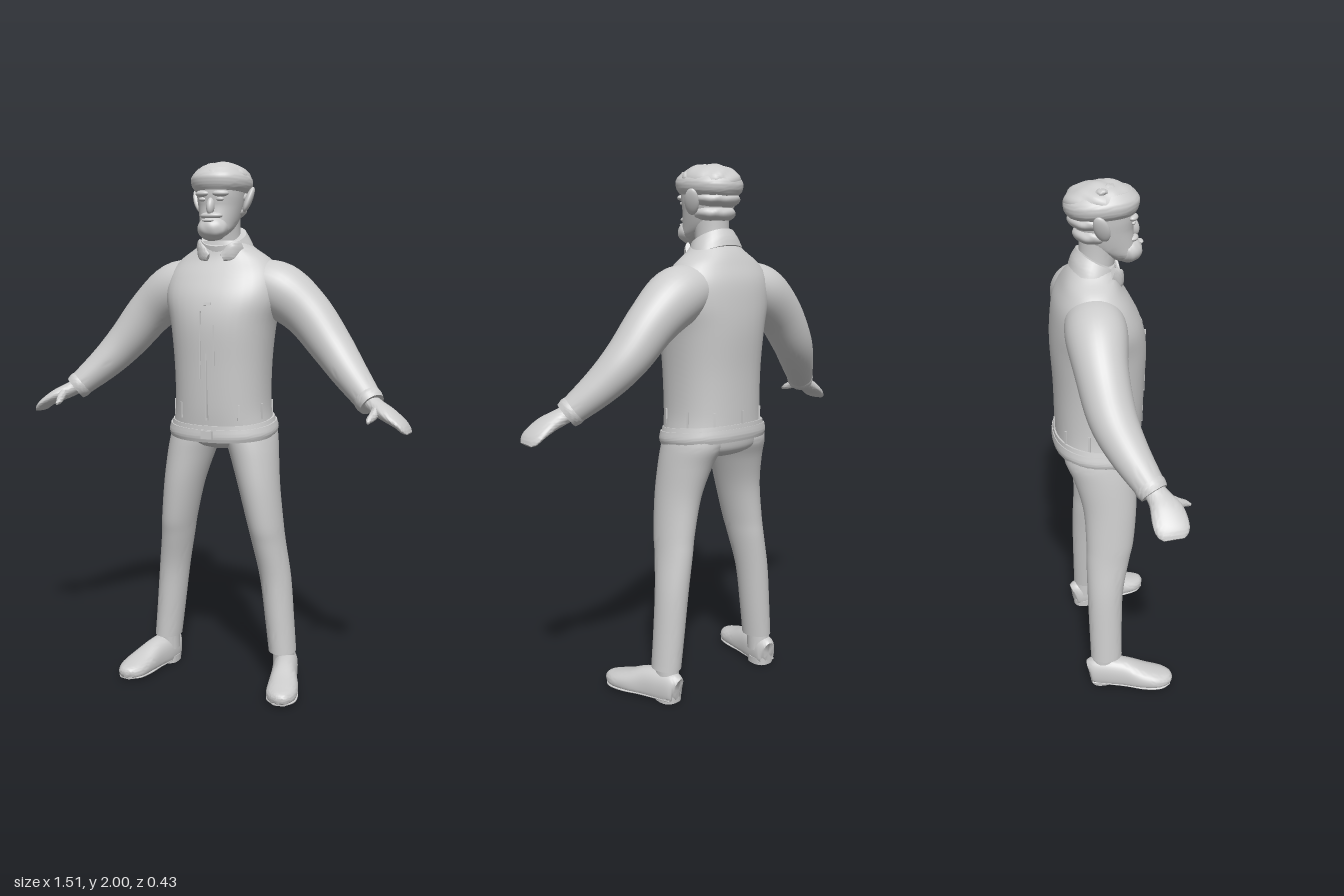
import * as THREE from 'three';
import { toCreasedNormals } from 'three/addons/utils/BufferGeometryUtils.js';

const UP = new THREE.Vector3(0, 1, 0);
const FRONT = new THREE.Vector3(0, 0, 1);

// Rounded-box style ellipse point; p = 2 is a plain ellipse
function oval(angle, p) {
  const c = Math.cos(angle), s = Math.sin(angle);
  return [Math.sign(c) * Math.abs(c) ** (2 / p), Math.sign(s) * Math.abs(s) ** (2 / p)];
}

// Smooth skin through sections [x, y, z, halfWidth, halfDepth].
// axis fixes the ring normal; without it rings follow the path.
function loft(sections, { side = 1, axis = null, ref = FRONT, p = 2, floor = -1, steps = 5, crease = 0.8 } = {}) {
  const N = 36;
  const path = new THREE.CatmullRomCurve3(sections.map(s => new THREE.Vector3(s[0] * side, s[1], s[2])), false, 'catmullrom', 0.5);
  const size = new THREE.CatmullRomCurve3(sections.map(s => new THREE.Vector3(s[3], s[4], 0)), false, 'catmullrom', 0.5);
  const rows = (sections.length - 1) * steps;
  const pos = [], index = [];
  for (let i = 0; i <= rows; i++) {
    const c = path.getPoint(i / rows), r = size.getPoint(i / rows);
    const t = axis ? axis.clone().normalize() : path.getTangent(i / rows);
    const w = ref.clone().addScaledVector(t, -t.dot(ref)).normalize();
    const u = w.clone().cross(t);
    for (let j = 0; j < N; j++) {
      const [a, b] = oval(j / N * Math.PI * 2, p);
      const v = c.clone().addScaledVector(u, a * r.x).addScaledVector(w, b * r.y);
      pos.push(v.x, Math.max(v.y, floor), v.z);
    }
  }
  for (let i = 0; i < rows; i++) for (let j = 0; j < N; j++) {
    const a = i * N + j, b = i * N + (j + 1) % N;
    index.push(a, b, b + N, a, b + N, a + N);
  }
  // end caps
  for (const [t, row] of [[0, 0], [1, rows]]) {
    const c = path.getPoint(t), centre = pos.length / 3;
    pos.push(c.x, Math.max(c.y, floor), c.z);
    for (let j = 0; j < N; j++) {
      const a = row * N + j, b = row * N + (j + 1) % N;
      index.push(centre, ...(t ? [a, b] : [b, a]));
    }
  }
  const g = new THREE.BufferGeometry();
  g.setAttribute('position', new THREE.Float32BufferAttribute(pos, 3));
  g.setIndex(index);
  return toCreasedNormals(g, crease);
}

// Ellipsoid with optional wavy lumps
function blob(rx, ry, rz, lump = 0) {
  const g = new THREE.SphereGeometry(1, 48, 32), a = g.attributes.position;
  const v = new THREE.Vector3();
  for (let i = 0; i < a.count; i++) {
    v.fromBufferAttribute(a, i);
    const k = 1 + lump * (Math.sin(7 * v.x + 3 * v.y) * Math.cos(6 * v.z + 1) + 0.6 * Math.sin(11 * v.z + 5 * v.x + 4 * v.y));
    a.setXYZ(i, v.x * rx * k, v.y * ry * k, v.z * rz * k);
  }
  g.computeVertexNormals();
  return g;
}

export function createModel() {
  const model = new THREE.Group();
  const gray = new THREE.MeshStandardMaterial({ color: 0xcccccc });
  gray.name = 'plain gray';
  const add = (name, geometry, x = 0, y = 0, z = 0, rx = 0, ry = 0, rz = 0) => {
    const m = new THREE.Mesh(geometry, gray);
    m.name = name;
    m.position.set(x, y, z);
    m.rotation.set(rx, ry, rz);
    model.add(m);
    return m;
  };

  // Jacket body, hem band and collar
  add('jacketBody', loft([
    [0, 1.01, -0.04, 0.195, 0.16], [0, 1.1, -0.036, 0.183, 0.164], [0, 1.25, -0.034, 0.185, 0.168],
    [0, 1.4, -0.036, 0.2, 0.174], [0, 1.5, -0.043, 0.225, 0.163], [0, 1.58, -0.056, 0.22, 0.138],
    [0, 1.64, -0.062, 0.178, 0.107], [0, 1.68, -0.058, 0.12, 0.09], [0, 1.71, -0.05, 0.085, 0.075],
  ], { axis: UP, p: 2.3 }));
  const hemAxis = new THREE.Vector3(0, 1, 0.1);
  add('hemBand', loft([
    [0, 0.982, -0.04, 0.207, 0.168], [0, 1.002, -0.04, 0.212, 0.173], [0, 1.03, -0.04, 0.205, 0.171],
  ], { axis: hemAxis, p: 2.3 }));
  add('hemSeam', loft([[0, 1.028, -0.04, 0.2, 0.168], [0, 1.045, -0.04, 0.195, 0.167]], { axis: hemAxis, p: 2.3 }));
  const collarAxis = new THREE.Vector3(0, 0.87, 0.46);
  add('collar', loft([
    [0, 1.665, -0.055, 0.115, 0.092], [0, 1.695, -0.047, 0.103, 0.09], [0, 1.728, -0.036, 0.086, 0.083],
  ], { axis: collarAxis }));

  // Front placket edges, button and waist tabs
  for (const [x, y, h] of [[-0.025, 1.33, 0.25], [0.03, 1.33, 0.15], [0, 1.18, 0.24]])
    add('placketEdge', new THREE.BoxGeometry(0.005, h, 0.009), x, y, 0.133);
  add('button', new THREE.BoxGeometry(0.026, 0.01, 0.009), 0, 1.48, 0.123, -0.2);
  add('hemFastener', new THREE.BoxGeometry(0.045, 0.03, 0.009), 0, 0.995, 0.132);
  for (let i = 0; i < 10; i++) {
    const angle = (i + 0.5) / 10 * Math.PI * 2, [a, b] = oval(angle, 2.3);
    add('waistTab', new THREE.BoxGeometry(0.008, 0.06, 0.009), a * 0.184, 1.08, -0.037 + b * 0.163, 0, Math.PI / 2 - angle, 0);
  }

  // Hips
  add('hips', loft([
    [0, 0.925, -0.05, 0.05, 0.06], [0, 0.94, -0.05, 0.125, 0.105], [0, 0.965, -0.05, 0.185, 0.132], [0, 1.01, -0.05, 0.2, 0.14],
  ], { axis: UP, p: 2.2 }));

  for (const side of [1, -1]) {
    const label = side > 0 ? 'left' : 'right';

    // Sleeve, cuff, hand and thumb
    add(label + 'Sleeve', loft([
      [0.1, 1.56, -0.065, 0.085, 0.1], [0.21, 1.527, -0.072, 0.105, 0.108], [0.32, 1.445, -0.073, 0.092, 0.092],
      [0.42, 1.328, -0.055, 0.079, 0.083], [0.5, 1.237, -0.015, 0.066, 0.07], [0.6, 1.138, 0.05, 0.048, 0.05],
    ], { side }));
    add(label + 'Cuff', loft([
      [0.578, 1.16, 0.035, 0.05, 0.052], [0.592, 1.146, 0.045, 0.053, 0.055], [0.606, 1.133, 0.054, 0.048, 0.05],
    ], { side }));
    add(label + 'Hand', loft([
      [0.58, 1.155, 0.04, 0.03, 0.035], [0.625, 1.127, 0.065, 0.029, 0.041], [0.67, 1.105, 0.082, 0.026, 0.056],
      [0.715, 1.077, 0.088, 0.019, 0.06], [0.738, 1.055, 0.09, 0.014, 0.052], [0.75, 1.044, 0.091, 0.005, 0.035],
    ], { side }));
    add(label + 'Thumb', loft([
      [0.635, 1.125, 0.09, 0.018, 0.02], [0.63, 1.105, 0.125, 0.015, 0.017],
      [0.622, 1.092, 0.155, 0.011, 0.012], [0.622, 1.084, 0.174, 0.004, 0.005],
    ], { side, ref: UP }));

    // Trouser leg and ankle
    add(label + 'TrouserLeg', loft([
      [0.247, 0.125, -0.045, 0.053, 0.063], [0.234, 0.25, -0.046, 0.056, 0.065], [0.216, 0.42, -0.044, 0.06, 0.07],
      [0.193, 0.56, -0.03, 0.063, 0.084], [0.181, 0.64, -0.02, 0.067, 0.092], [0.157, 0.78, -0.016, 0.077, 0.102],
      [0.132, 0.9, -0.03, 0.09, 0.118], [0.114, 0.97, -0.045, 0.098, 0.132], [0.11, 1.01, -0.05, 0.092, 0.13],
    ], { side, axis: UP }));
    add(label + 'Ankle', loft([
      [0.25, 0.06, -0.055, 0.042, 0.05], [0.25, 0.16, -0.05, 0.042, 0.05],
    ], { side, axis: UP }));

    // Shoe with sole and heel
    add(label + 'Shoe', loft([
      [0.247, 0.05, -0.115, 0.018, 0.04], [0.25, 0.052, -0.1, 0.04, 0.062], [0.262, 0.05, -0.04, 0.048, 0.07],
      [0.28, 0.045, 0.03, 0.05, 0.066], [0.3, 0.038, 0.1, 0.058, 0.046], [0.312, 0.032, 0.16, 0.056, 0.034],
      [0.32, 0.03, 0.198, 0.036, 0.025], [0.322, 0.028, 0.212, 0.014, 0.012],
    ], { side, ref: UP, p: 2.3, floor: 0.014 }));
    add(label + 'ShoeSole', loft([
      [0.252, 0.014, -0.1, 0.038, 0.006], [0.265, 0.014, -0.03, 0.045, 0.006], [0.283, 0.014, 0.04, 0.05, 0.006],
      [0.302, 0.014, 0.11, 0.06, 0.006], [0.315, 0.014, 0.17, 0.054, 0.006], [0.321, 0.014, 0.206, 0.025, 0.005],
    ], { side, ref: UP, p: 3 }));
    add(label + 'ShoeHeel', loft([
      [0.254, 0, -0.062, 0.043, 0.048], [0.254, 0.028, -0.062, 0.044, 0.049],
    ], { side, axis: UP, p: 2.6 }));

    // Collar flap, ear, eye and brow
    add(label + 'CollarFlap', loft([
      [0.085, 1.69, 0.0, 0.01, 0.03], [0.062, 1.668, 0.035, 0.01, 0.032], [0.028, 1.648, 0.05, 0.006, 0.014],
    ], { side, ref: UP }));
    add(label + 'Ear', blob(0.014, 0.05, 0.028), side * 0.1, 1.86, -0.035, -0.2, side * 0.4, side * -0.3);
    add(label + 'Eye', blob(0.016, 0.008, 0.01), side * 0.033, 1.857, 0.083);
    add(label + 'Brow', blob(0.03, 0.012, 0.018), side * 0.036, 1.877, 0.083, 0, side * 0.3, 0);
  }

  // Neck and head
  add('neck', loft([[0, 1.66, -0.05, 0.066, 0.066], [0, 1.74, -0.035, 0.062, 0.066], [0, 1.82, -0.025, 0.066, 0.075]], { axis: UP }));
  add('head', loft([
    [0, 1.72, 0.06, 0.03, 0.035], [0, 1.74, 0.045, 0.052, 0.058], [0, 1.775, 0.01, 0.066, 0.088], [0, 1.83, -0.008, 0.078, 0.098],
    [0, 1.88, -0.012, 0.085, 0.106], [0, 1.94, -0.015, 0.085, 0.1], [0, 1.98, -0.015, 0.045, 0.055],
  ], { axis: UP, p: 2.2 }));
  add('nose', blob(0.015, 0.032, 0.02), 0, 1.832, 0.092, -0.25);
  add('moustache', blob(0.043, 0.014, 0.026), 0, 1.798, 0.083);
  add('beard', blob(0.057, 0.045, 0.052, 0.02), 0, 1.753, 0.072);
  add('mouth', blob(0.022, 0.006, 0.01), 0, 1.78, 0.117);

  // Tousled hair: crown, fringe and tiers at the back
  add('hairCrown', blob(0.104, 0.066, 0.128, 0.03), 0, 1.93, -0.02);
  add('hairFringe', loft([
    [0, 1.885, -0.018, 0.093, 0.115], [0, 1.905, -0.02, 0.107, 0.128], [0, 1.935, -0.02, 0.108, 0.13], [0, 1.965, -0.02, 0.085, 0.105],
  ], { axis: new THREE.Vector3(0, 1, -0.05), p: 2.2 }));
  add('hairBackUpper', blob(0.093, 0.036, 0.078, 0.02), 0, 1.87, -0.06);
  add('hairBackLower', blob(0.082, 0.036, 0.07, 0.02), 0, 1.82, -0.05);
  for (let i = 0; i < 9; i++) {
    const a = i * 2.4, r = 0.3 + 0.06 * i;
    add('hairLock', blob(0.034, 0.015, 0.024, 0.05), Math.cos(a) * r * 0.1, 1.982 - r * r * 0.045, -0.02 + Math.sin(a) * r * 0.115, Math.sin(a) * r * 0.6, a, -Math.cos(a) * r * 0.6);
  }
  return model;
}
